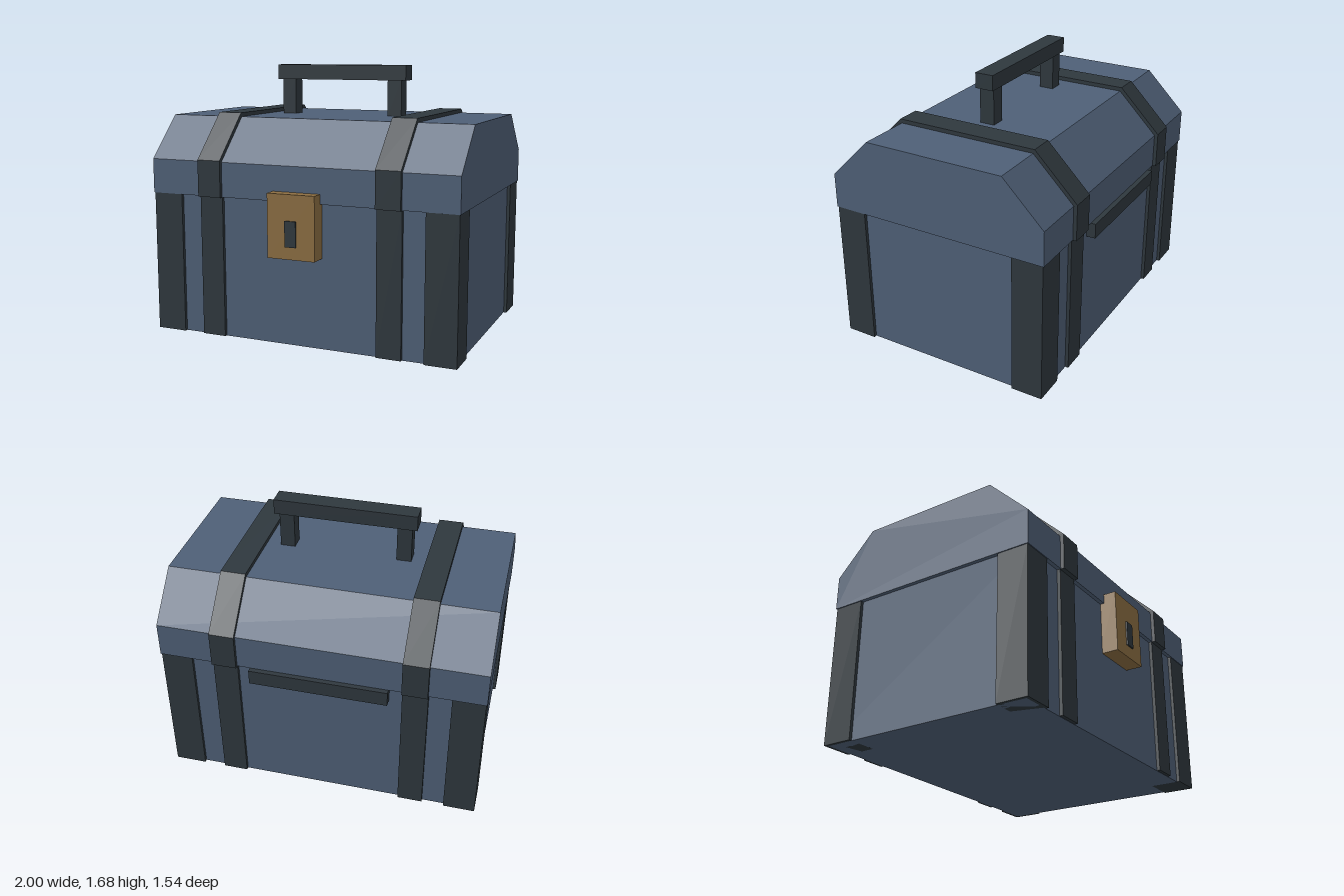
import * as THREE from 'three';

const material = (name, color) => {
  const m = new THREE.MeshStandardMaterial({ color });
  m.name = name;
  return m;
};

export function createModel() {
  const chest = new THREE.Group();
  chest.name = 'chest';
  const blue = material('slate blue', 0x4f6077);
  const dark = material('dark iron', 0x2f383e);
  const brass = material('brass', 0x8c6e42);

  // Box given by its [min, max] range on each axis
  const box = (name, mat, [x0, x1], [y0, y1], [z0, z1]) => {
    const mesh = new THREE.Mesh(new THREE.BoxGeometry(x1 - x0, y1 - y0, z1 - z0), mat);
    mesh.position.set((x0 + x1) / 2, (y0 + y1) / 2, (z0 + z1) / 2);
    mesh.name = name;
    chest.add(mesh);
  };

  // Bevelled lid cross-section in (z, y), extruded along x
  const lidProfile = (name, mat, x0, x1, points) => {
    const shape = new THREE.Shape(points.map(([z, y]) => new THREE.Vector2(-z, y)));
    const geometry = new THREE.ExtrudeGeometry(shape, { depth: x1 - x0, bevelEnabled: false });
    geometry.rotateY(Math.PI / 2);
    const mesh = new THREE.Mesh(geometry, mat);
    mesh.position.x = x0;
    mesh.name = name;
    chest.add(mesh);
  };

  // Body and lid
  box('body', blue, [-0.975, 0.975], [0, 0.885], [-0.71, 0.655]);
  lidProfile('lid', blue, -1, 1, [
    [0.68, 0.885], [0.68, 1.1], [0.42, 1.36], [-0.478, 1.36], [-0.737, 1.1], [-0.737, 0.885],
  ]);

  for (const [side, s] of [['left', 1], ['right', -1]]) {
    const span = (a, b) => (s > 0 ? [a, b] : [-b, -a]);

    // Corner posts
    box(`${side}FrontCorner`, dark, span(0.798, 0.995), [0, 0.884], [0.478, 0.675]);
    box(`${side}BackCorner`, dark, span(0.798, 0.995), [0, 0.884], [-0.73, -0.533]);

    // Straps around body and lid
    const [x0, x1] = span(0.505, 0.66);
    box(`${side}BodyStrap`, dark, [x0, x1], [0.002, 0.884], [-0.731, 0.676]);
    lidProfile(`${side}LidStrap`, dark, x0, x1, [
      [0.703, 0.884], [0.703, 1.11], [0.43, 1.385], [-0.488, 1.385], [-0.76, 1.11], [-0.76, 0.884],
    ]);

    // Handle uprights
    box(`${side}HandlePost`, dark, span(0.322, 0.414), [1.35, 1.59], [-0.075, 0.02]);
  }

  // Handle grip
  box('handleGrip', dark, [-0.445, 0.445], [1.585, 1.68], [-0.088, 0.03]);

  // Lock with keyhole plate, and the hinge bar at the back
  box('lock', brass, [-0.154, 0.154], [0.556, 0.945], [0.64, 0.758]);
  box('keyhole', dark, [-0.036, 0.036], [0.632, 0.788], [0.759, 0.768]);
  box('hinge', dark, [-0.425, 0.425], [0.79, 0.884], [-0.767, -0.69]);

  return chest;
}
